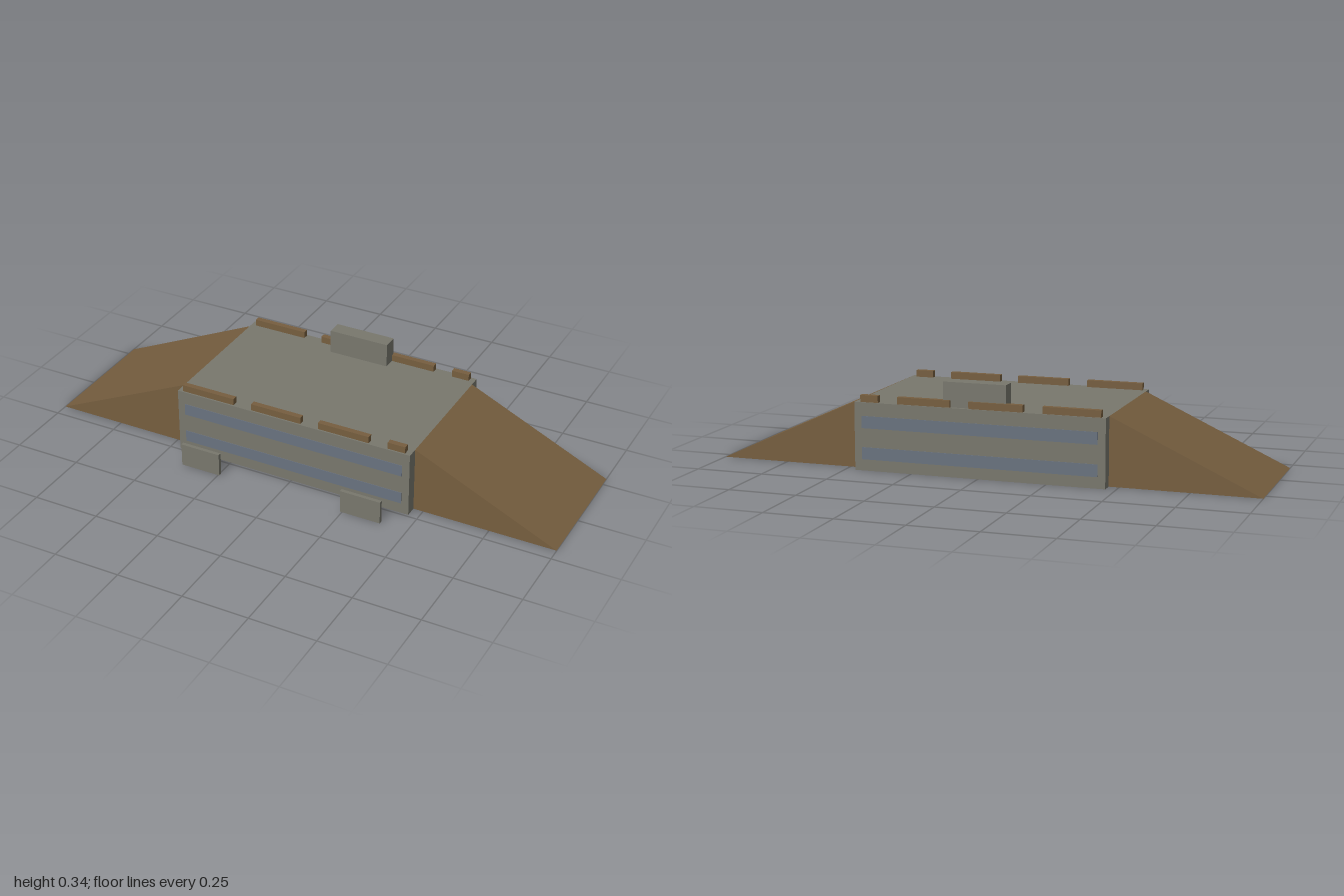
import * as THREE from 'three';

export function createModel() {
  const model = new THREE.Group();
  const mat = (name, color, side = THREE.FrontSide) =>
    Object.assign(new THREE.MeshStandardMaterial({ color, side }), { name });
  const stone = mat('stone grey', 0x78776d);
  const earth = mat('earth brown', 0x765e3f, THREE.DoubleSide);
  const blue = mat('slate blue', 0x69727f);

  // Box given by its lower and upper limits on each axis
  const box = (name, material, [x0, x1], [y0, y1], [z0, z1]) => {
    const mesh = new THREE.Mesh(new THREE.BoxGeometry(x1 - x0, y1 - y0, z1 - z0), material);
    mesh.position.set((x0 + x1) / 2, (y0 + y1) / 2, (z0 + z1) / 2);
    mesh.name = name;
    model.add(mesh);
  };

  const half = 0.463, top = 0.247, front = 0.241, back = -0.331;
  box('body', stone, [-half, half], [0, top], [back, front]);

  // Thin painted stripes along both long walls
  for (const y of [[0.041, 0.085], [0.154, 0.198]]) {
    box('frontStripe', blue, [-0.435, 0.435], y, [front, front + 0.002]);
    box('backStripe', blue, [-0.435, 0.435], y, [back - 0.002, back]);
  }

  // Low parapet blocks along both roof edges
  for (const x of [[-0.445, -0.235], [-0.163, 0.035], [0.105, 0.302], [0.375, 0.442]]) {
    box('frontParapet', earth, x, [top, 0.272], [0.214, 0.235]);
    box('backParapet', earth, x, [top, 0.272], [-0.326, -0.305]);
  }

  // Raised block at the back of the roof
  box('roofBlock', stone, [-0.1, 0.132], [top, 0.337], [-0.317, -0.26]);

  // Free-standing slabs in front
  box('rightSlab', stone, [-0.4, -0.245], [0, 0.087], [0.319, 0.333]);
  box('leftSlab', stone, [0.242, 0.397], [0, 0.087], [0.319, 0.333]);

  // Sloping ramps: a slope and two triangular cheeks, open underneath
  const zf = 0.198, zb = -0.288;
  for (const s of [1, -1]) {
    const a = [s * half, top, zf], b = [s, 0, zf], c = [s, 0, zb], d = [s * half, top, zb];
    const e = [s * half, 0, zf], f = [s * half, 0, zb];
    const faces = [[a, b, c], [a, c, d], [a, e, b], [d, c, f]];
    const points = faces.flatMap(([p, q, r]) => (s > 0 ? [p, q, r] : [p, r, q])).flat();
    const geometry = new THREE.BufferGeometry();
    geometry.setAttribute('position', new THREE.Float32BufferAttribute(points, 3));
    geometry.computeVertexNormals();
    const ramp = new THREE.Mesh(geometry, earth);
    ramp.name = s > 0 ? 'leftRamp' : 'rightRamp';
    model.add(ramp);
  }
  return model;
}
